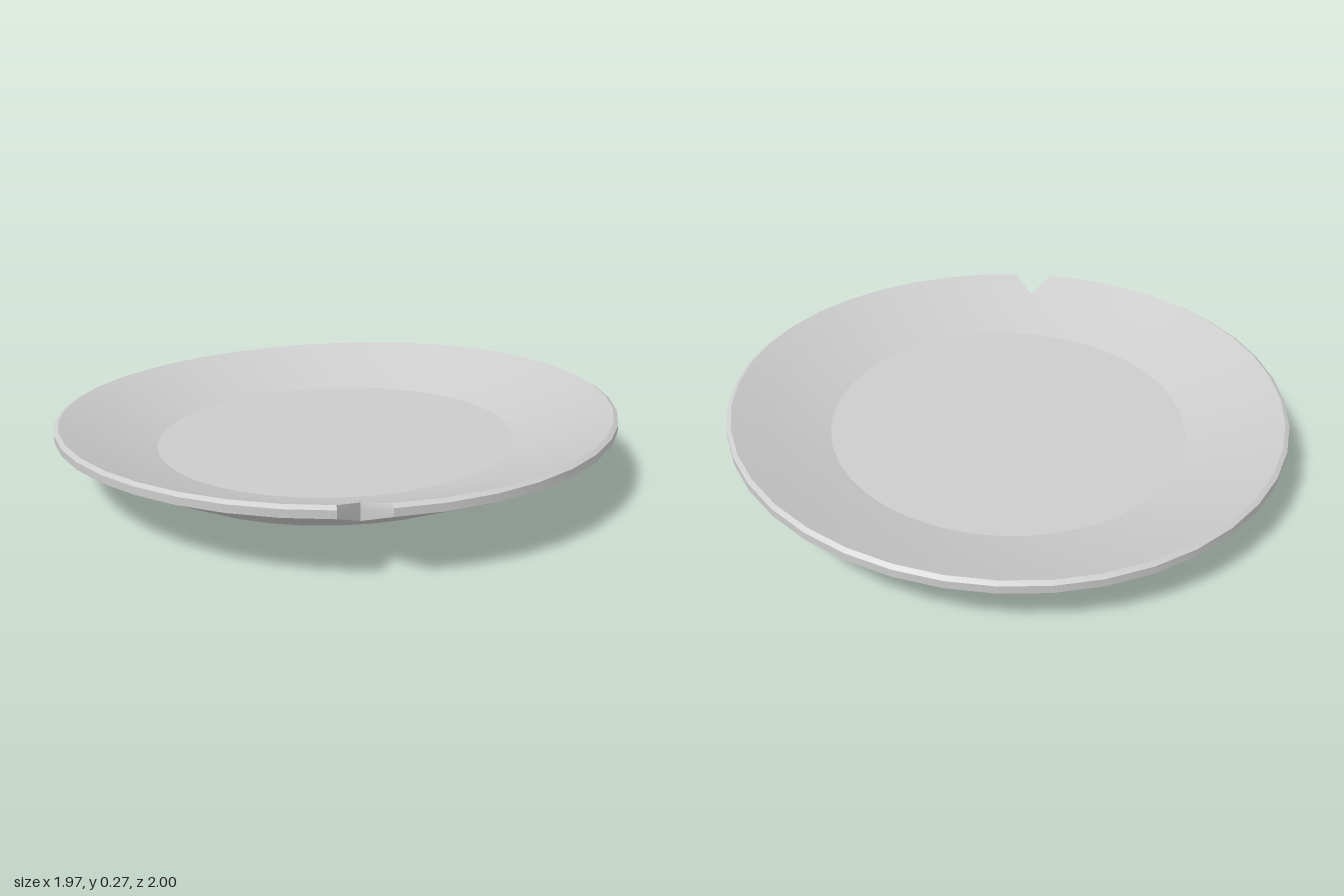
import * as THREE from 'three';
import { toCreasedNormals } from 'three/addons/utils/BufferGeometryUtils.js';

const SIDES = 40;
const NOTCH = -Math.PI / SIDES; // middle of the facet that carries the chip

// Columns around the plate, with one extra column at the tip of the chip
const angles = [];
for (let i = 0; i < SIDES; i++) angles.push((i / SIDES) * Math.PI * 2);
angles.push(Math.PI * 2 + NOTCH);

// Gentle hand-made tilt: the plate sags towards its back right corner
function warp(r, a) {
  const u = (0.4 * Math.sin(a) + 0.917 * Math.cos(a)) * Math.min(1, r / 0.66);
  const s = THREE.MathUtils.clamp((r - 0.68) / 0.31, 0, 1);
  return (0.034 + 0.011 * s) * u - 0.018 * s * u * u;
}

// Sweeps a profile of [radius, height] around the plate.
// chipped is the profile used at the tip of the chip.
function band(profile, chipped = profile) {
  const pos = [], index = [], n = profile.length;
  angles.forEach((a, col) => {
    const rows = col === SIDES ? chipped : profile;
    const chord = col === SIDES ? Math.cos(NOTCH) : 1;
    for (const [r, y] of rows) {
      pos.push(Math.sin(a) * r * 0.987 * chord, y + warp(r, a), Math.cos(a) * r * chord);
    }
  });
  for (let c = 0; c < angles.length; c++) {
    const d = (c + 1) % angles.length;
    for (let k = 0; k < n - 1; k++) {
      const p = c * n + k, q = p + 1, r = d * n + k, s = r + 1;
      index.push(p, r, q, r, s, q);
    }
  }
  const g = new THREE.BufferGeometry();
  g.setAttribute('position', new THREE.Float32BufferAttribute(pos, 3));
  g.setIndex(index);
  g.computeVertexNormals();
  return g;
}

export function createModel() {
  const plate = new THREE.Group();
  plate.name = 'chippedPlate';
  const material = new THREE.MeshStandardMaterial({ color: 0xcccccc, side: THREE.DoubleSide });
  const add = (name, geometry) => {
    const mesh = new THREE.Mesh(geometry, material);
    mesh.name = name;
    plate.add(mesh);
  };

  // Underside: recessed disc, its short wall and the flat foot ring
  add('underside', band([[0, 0.054], [0.3, 0.054], [0.637, 0.054]]));
  add('recessWall', band([[0.637, 0.054], [0.64, 0.036]]));
  add('footRing', band([[0.64, 0.036], [0.68, 0.036]]));

  // Flared outer wall
  const outer = [[0.68, 0.036], [0.78, 0.09], [0.88, 0.143]];
  add('outerWall', band([...outer, [1, 0.208]], [...outer, [0.88, 0.143]]));

  // Rim edge, following the chip down to its tip
  add('rim', toCreasedNormals(band(
    [[1, 0.208], [1, 0.234], [0.985, 0.243]],
    [[0.88, 0.143], [0.88, 0.18], [0.88, 0.2]]), 0.7));

  // Inner wall and floor
  const inner = [[0.88, 0.2], [0.77, 0.156], [0.65, 0.116]];
  add('innerWall', band([[0.985, 0.243], ...inner], [[0.88, 0.2], ...inner]));
  add('floor', band([[0.65, 0.116], [0.3, 0.116], [0, 0.116]]));

  return plate;
}
